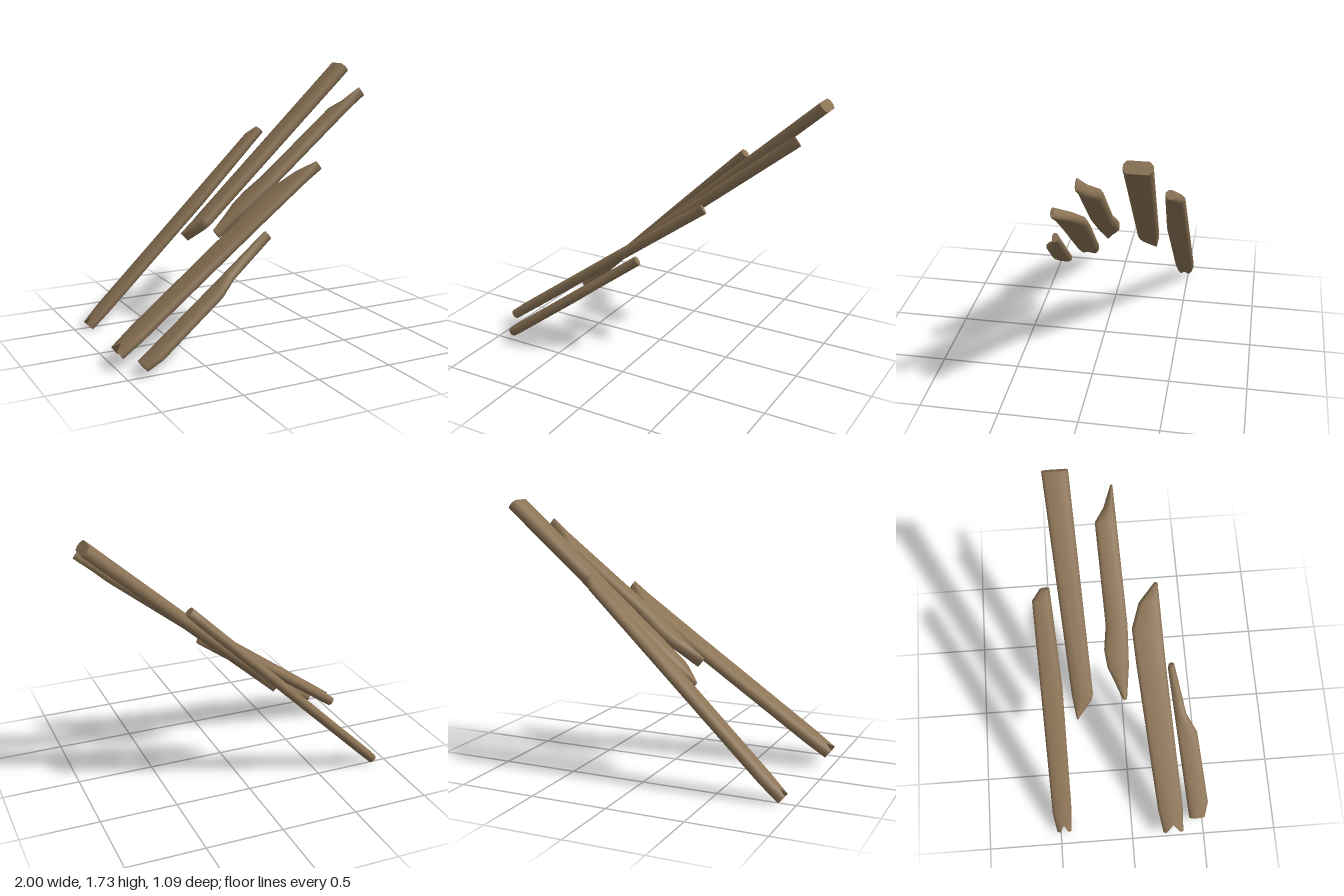
import * as THREE from 'three';

// Height of a polyline of [x, z] points at x
function edgeAt(points, x) {
  const i = Math.max(1, points.findIndex((p) => p[0] >= x));
  const [x0, z0] = points[i - 1], [x1, z1] = points[i];
  return z0 + (z1 - z0) * (x - x0) / (x1 - x0);
}

// Chamfered section, running from the top middle round the front edge
function section(z0, z1, h) {
  const c = Math.min(0.02, (z1 - z0) * 0.3);
  const m = (z0 + z1) / 2;
  return [[h, m], [h, z1 - c], [h * 0.4, z1], [-h * 0.4, z1], [-h, z1 - c],
    [-h, m], [-h, z0 + c], [-h * 0.4, z0], [h * 0.4, z0], [h, z0 + c]];
}

// A plank rising from height low to high, with a broken outline between its
// back and front edges; notch is the depth of the split in its low end
function plankGeometry({ low, high, thick, notch, back, front }) {
  const xs = [...new Set([...back, ...front].map((p) => p[0]))].sort((a, b) => a - b);
  const last = xs.length - 1;
  const slope = (high - low) / (xs[last] - xs[0]);
  const cos = 1 / Math.hypot(1, slope), sin = slope * cos;
  const positions = [], index = [];
  const N = 10;

  // Place a point given its mid-line x, offset across the thickness, and z
  const add = (x, n, z) =>
    positions.push(x - sin * n, low + (x - xs[0]) * slope + cos * n, z);
  const addRing = (k) => {
    const ring = section(edgeAt(back, xs[k]), edgeAt(front, xs[k]), thick / 2);
    ring.forEach(([n, z], j) => add(xs[k] + (k === 0 && j % 5 === 0 ? notch : 0), n, z));
    return ring[0][1];
  };

  // Smooth skin along the length
  for (let k = 0; k <= last; k++) addRing(k);
  for (let k = 0; k < last; k++) {
    for (let j = 0; j < N; j++) {
      const a = k * N + j, b = k * N + (j + 1) % N;
      index.push(a, b, a + N, b, b + N, a + N);
    }
  }

  // Separate end faces keep a crisp edge
  for (const k of [0, last]) {
    const start = positions.length / 3;
    const middle = addRing(k);
    add(xs[k] + (k === 0 ? notch : 0), 0, middle);
    for (let j = 0; j < N; j++) {
      const a = start + j, b = start + (j + 1) % N;
      if (k === 0) index.push(start + N, b, a);
      else index.push(start + N, a, b);
    }
  }

  const geometry = new THREE.BufferGeometry();
  geometry.setAttribute('position', new THREE.Float32BufferAttribute(positions, 3));
  geometry.setIndex(index);
  geometry.computeVertexNormals();
  return geometry;
}

export function createModel() {
  const wood = new THREE.MeshStandardMaterial({ color: 0x8b7355 });
  wood.name = 'weatheredWood';

  const group = new THREE.Group();
  group.name = 'brokenPlanks';
  const addPlank = (name, shape) => {
    const mesh = new THREE.Mesh(plankGeometry(shape), wood);
    mesh.name = name;
    group.add(mesh);
  };

  addPlank('backPlank', {
    low: 0.022, high: 1.275, thick: 0.06, notch: 0.04,
    back: [[-0.91, -0.525], [-0.8, -0.545], [0.33, -0.545], [0.385, -0.49]],
    front: [[-0.91, -0.425], [-0.8, -0.413], [-0.1, -0.402], [0.385, -0.43]],
  });
  addPlank('highPlank', {
    low: 0.6, high: 1.703, thick: 0.075, notch: 0,
    back: [[-0.265, -0.325], [-0.14, -0.345], [0.973, -0.42]],
    front: [[-0.265, -0.31], [-0.175, -0.22], [-0.14, -0.205], [0.973, -0.257]],
  });
  addPlank('middlePlank', {
    low: 0.68, high: 1.56, thick: 0.07, notch: 0,
    back: [[-0.18, -0.01], [-0.07, -0.062], [0, -0.097], [0.09, -0.11],
      [0.22, -0.09], [0.75, -0.115], [0.82, -0.055], [0.928, -0.003]],
    front: [[-0.18, 0.02], [0, 0.045], [0.22, 0.052], [0.928, 0.01]],
  });
  addPlank('longPlank', {
    low: 0.095, high: 1.125, thick: 0.064, notch: 0.045,
    back: [[-0.985, 0.215], [-0.85, 0.186], [0, 0.096], [0.2, 0.08], [0.34, 0.135], [0.44, 0.24]],
    front: [[-0.985, 0.353], [-0.85, 0.357], [0, 0.29], [0.44, 0.264]],
  });
  addPlank('frontPlank', {
    low: 0.055, high: 0.725, thick: 0.062, notch: 0,
    back: [[-0.89, 0.407], [0, 0.31], [0.022, 0.318]],
    front: [[-0.89, 0.515], [-0.8, 0.542], [-0.38, 0.488], [-0.27, 0.42], [0.022, 0.353]],
  });
  return group;
}
